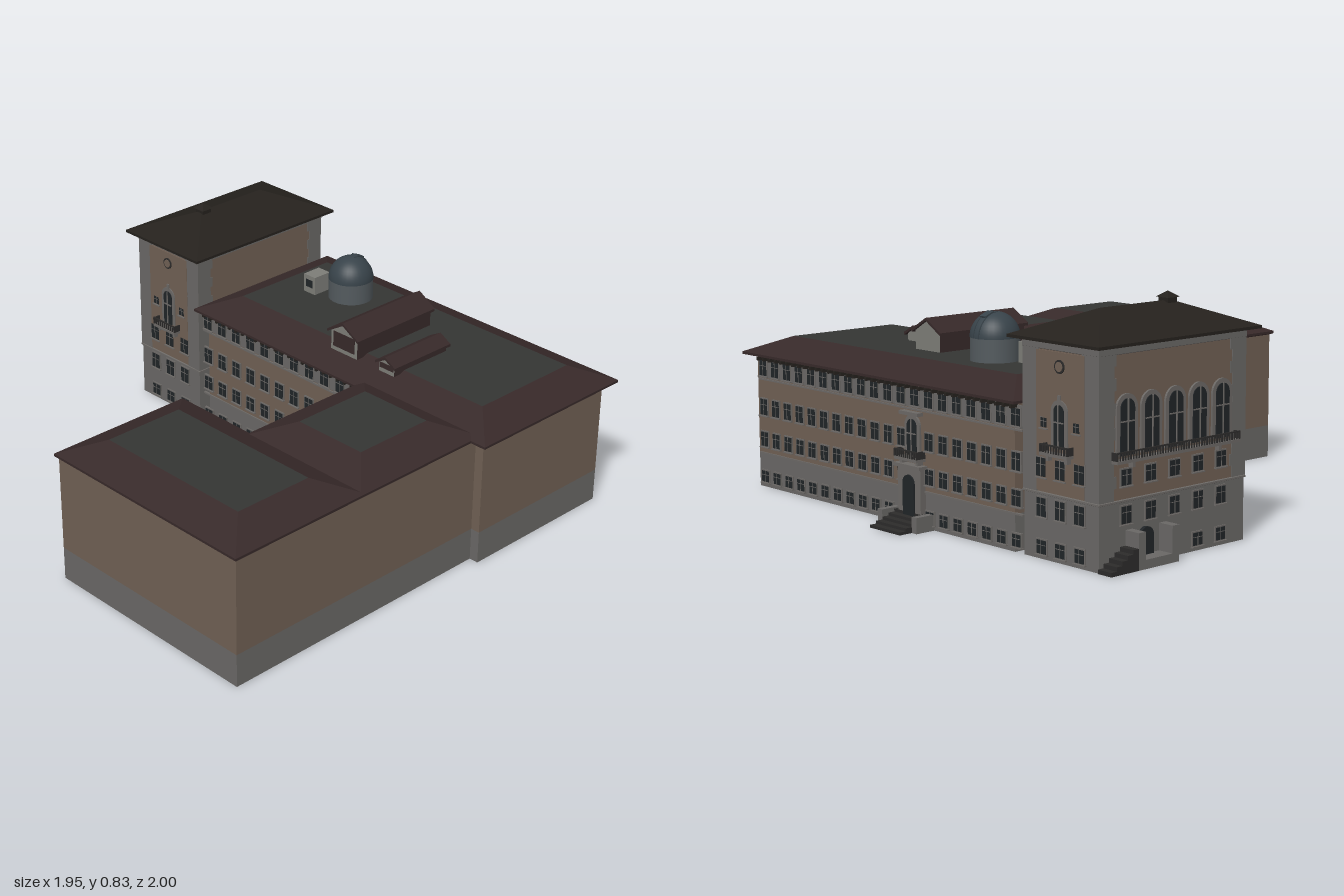
import * as THREE from 'three';

const mat = (color, side = THREE.FrontSide, flatShading = true) =>
  new THREE.MeshStandardMaterial({ color, side, flatShading });
const BOTH = THREE.DoubleSide;
const M = {
  brick: mat(0x6f5f53, BOTH), stone: mat(0x696765, BOTH), trim: mat(0x6b6865, BOTH), dark: mat(0x202427),
  tile: mat(0x372929, BOTH), tileDark: mat(0x25211d, BOTH), flat: mat(0x343533, BOTH), iron: mat(0x2c2b2a),
  dome: mat(0x38434a, BOTH, false), drum: mat(0x535a5e, BOTH, false), hut: mat(0x7c7c77),
};

function add(parent, name, geo, material, x = 0, y = 0, z = 0) {
  const m = new THREE.Mesh(geo, material);
  m.name = name;
  m.position.set(x, y, z);
  parent.add(m);
  return m;
}
const box = (p, name, w, h, d, material, x, y, z) =>
  add(p, name, new THREE.BoxGeometry(w, h, d), material, x, y, z);

// Joins rectangular rings [x0, x1, z0, z1, y] from bottom to top; the top may be closed
function loft(parent, name, rings, material, cap = false) {
  const corners = ([x0, x1, z0, z1, y]) => [[x0, y, z1], [x1, y, z1], [x1, y, z0], [x0, y, z0]];
  const pos = [];
  const quad = (a, b, c, d) => pos.push(...a, ...b, ...c, ...a, ...c, ...d);
  for (let r = 0; r + 1 < rings.length; r++) {
    const a = corners(rings[r]), b = corners(rings[r + 1]);
    for (let i = 0; i < 4; i++) quad(a[i], a[(i + 1) % 4], b[(i + 1) % 4], b[i]);
  }
  if (cap) quad(...corners(rings[rings.length - 1]));
  const g = new THREE.BufferGeometry();
  g.setAttribute('position', new THREE.Float32BufferAttribute(pos, 3));
  g.computeVertexNormals();
  return add(parent, name, g, material);
}
const grow = ([x0, x1, z0, z1], d, y) => [x0 - d, x1 + d, z0 - d, z1 + d, y];

// Wing: stone base, brick walls, sloped roof border around a flat top
function wing(parent, name, r, overhang) {
  const g = new THREE.Group();
  g.name = name;
  parent.add(g);
  loft(g, 'stoneBase', [[...r, 0], [...r, 0.125]], M.stone);
  loft(g, 'brickWalls', [[...r, 0.125], [...r, 0.49]], M.brick);
  const top = grow(r, overhang - 0.135, 0.56);
  loft(g, 'slopedRoof', [[...r, 0.488], grow(r, overhang, 0.493), grow(r, overhang, 0.502), top], M.tile);
  loft(g, 'flatRoof', [top], M.flat, true);
}

// Facade frame: local x runs along the wall, z points outward
function facade(parent, name, x, z, turn) {
  const g = new THREE.Group();
  g.name = name;
  g.position.set(x, 0, z);
  g.rotation.y = turn;
  parent.add(g);
  return g;
}

function squareWindow(f, x, y, w, h) {
  box(f, 'windowFrame', w + 0.01, h + 0.01, 0.008, M.trim, x, y, 0);
  box(f, 'windowPane', w, h, 0.012, M.dark, x, y, 0);
  box(f, 'mullion', 0.002, h, 0.014, M.trim, x, y, 0);
  box(f, 'transom', w, 0.002, 0.014, M.trim, x, y + h * 0.15, 0);
  box(f, 'sill', w + 0.014, 0.004, 0.016, M.trim, x, y - h / 2 - 0.005, 0.002);
}

function archGeometry(w, h, depth) {
  const s = new THREE.Shape(), r = w / 2;
  s.moveTo(-r, 0);
  s.lineTo(r, 0);
  s.lineTo(r, h - r);
  s.absarc(0, h - r, r, 0, Math.PI, false);
  s.closePath();
  return new THREE.ExtrudeGeometry(s, { depth, bevelEnabled: false, curveSegments: 8 });
}
function archWindow(f, x, y, w, h) {
  add(f, 'archSurround', archGeometry(w + 0.03, h + 0.015, 0.008), M.trim, x, y, 0);
  add(f, 'archPane', archGeometry(w, h, 0.011), M.dark, x, y, 0);
  box(f, 'archMullion', 0.004, h, 0.004, M.trim, x, y + h / 2, 0.012);
  box(f, 'archTransom', w, 0.004, 0.004, M.trim, x, y + h * 0.6, 0.012);
}

function balcony(f, x, y, w, d) {
  box(f, 'balconySlab', w, 0.01, d, M.trim, x, y, d / 2);
  box(f, 'balconyRail', w, 0.005, 0.005, M.iron, x, y + 0.03, d - 0.003);
  const n = Math.round(w / 0.012);
  for (let i = 0; i <= n; i++)
    box(f, 'baluster', 0.004, 0.026, 0.004, M.iron, x + (i / n - 0.5) * (w - 0.005), y + 0.016, d - 0.003);
  for (const s of [-1, 1]) {
    box(f, 'balconySide', 0.004, 0.026, d, M.iron, x + s * (w / 2 - 0.002), y + 0.018, d / 2);
    box(f, 'balconyBracket', 0.012, 0.02, d * 0.6, M.trim, x + s * w * 0.35, y - 0.014, d * 0.3);
  }
}

// Four window storeys, an attic band and eave brackets
function mainStoreys(f, x0, x1, n, skip = () => false) {
  box(f, 'atticBand', x1 - x0 + 0.06, 0.075, 0.004, M.stone, (x0 + x1) / 2, 0.447, 0);
  box(f, 'atticCourse', x1 - x0 + 0.06, 0.006, 0.01, M.trim, (x0 + x1) / 2, 0.403, 0);
  box(f, 'baseCourse', x1 - x0 + 0.06, 0.006, 0.01, M.trim, (x0 + x1) / 2, 0.127, 0);
  const rows = [[0.04, 0.04], [0.18, 0.052], [0.3, 0.058], [0.445, 0.056]];
  for (let i = 0; i < n; i++) {
    const x = x0 + (x1 - x0) * i / (n - 1);
    rows.forEach(([y, h], k) => { if (!skip(x, k)) squareWindow(f, x, y, 0.04, h); });
  }
  const nb = Math.round((x1 - x0) / 0.036);
  for (let i = 0; i <= nb; i++)
    box(f, 'eaveBracket', 0.01, 0.012, 0.03, M.tileDark, x0 + (x1 - x0) * i / nb, 0.482, 0.014);
}

// Narrow tower face: arched balcony window, round window and storey windows
function towerFace(f) {
  box(f, 'brickPanel', 0.22, 0.45, 0.008, M.brick, 0, 0.45, 0);
  for (const y of [0.04, 0.17, 0.3])
    for (const x of [-0.088, 0, 0.088]) squareWindow(f, x, y, 0.042, y < 0.1 ? 0.044 : 0.06);
  for (const x of [-0.075, 0.075]) squareWindow(f, x, 0.445, 0.026, 0.03);
  archWindow(f, 0, 0.37, 0.046, 0.14);
  box(f, 'archFinial', 0.012, 0.02, 0.012, M.trim, 0, 0.53, 0.004);
  balcony(f, 0, 0.352, 0.125, 0.035);
  const disc = (name, r, h, material) => {
    const m = add(f, name, new THREE.CylinderGeometry(r, r, h, 20), material, 0, 0.63, 0);
    m.rotation.x = Math.PI / 2;
  };
  disc('roundWindowRing', 0.022, 0.016, M.iron);
  disc('roundWindowPane', 0.016, 0.02, M.brick);
}

// Stepped entrance stair between two cheek walls
function stairs(f, x, w, h, d) {
  for (let i = 0; i < 5; i++)
    box(f, 'step', w, h * (5 - i) / 5, d / 5, M.iron, x, h * (5 - i) / 10, d * (i + 0.5) / 5);
  for (const s of [-1, 1])
    box(f, 'stairCheek', 0.025, h + 0.005, d * 0.6, M.stone, x + s * (w / 2 + 0.012), (h + 0.005) / 2, d * 0.3);
}

// Gabled rooftop house running along z
function gableHouse(parent, name, x, z0, z1, w, eave, ridge) {
  const poly = (pts, depth, material, part, z) => add(parent, name + part, new THREE.ExtrudeGeometry(
    new THREE.Shape(pts.map(p => new THREE.Vector2(...p))), { depth, bevelEnabled: false }), material, x, 0, z);
  const a = w / 2, b = a - 0.012, t = 0.01;
  poly([[-b, 0.55], [b, 0.55], [b, eave], [0, ridge - t], [-b, eave]], z1 - z0 - 0.02, [M.hut, M.tile], 'Walls', z0 + 0.01);
  poly([[-a, eave - t], [0, ridge - t], [a, eave - t], [a, eave], [0, ridge], [-a, eave]], z1 - z0, M.tile, 'Roof', z0);
  box(parent, name + 'Louvre', w * 0.68, eave - 0.57, 0.006, M.tile, x, (eave + 0.565) / 2, z1 - 0.01);
}

export function createModel() {
  const model = new THREE.Group();
  model.name = 'courtyardBuilding';
  const site = new THREE.Group();
  site.name = 'building';
  site.rotation.y = -0.09;
  model.add(site);

  // Three connected wings
  wing(site, 'mainWing', [-0.565, 0.858, -0.86, -0.212], 0.04);
  wing(site, 'linkWing', [0.28, 0.822, -0.212, 0.357], 0.012);
  wing(site, 'southWing', [-0.071, 0.822, 0.357, 0.917], 0.012);

  // Main wing facades
  const front = facade(site, 'courtFacade', 0, -0.212, 0);
  mainStoreys(front, -0.565, 0.24, 11);
  const back = facade(site, 'streetFacade', 0, -0.86, Math.PI);
  mainStoreys(back, -0.82, 0.575, 20, (x, k) => Math.abs(x - 0.05) < 0.06 && k < 3);

  // Street entrance
  box(back, 'portal', 0.12, 0.2, 0.025, M.trim, 0.05, 0.11, 0.01);
  add(back, 'portalDoor', archGeometry(0.06, 0.14, 0.028), M.dark, 0.05, 0.04, 0);
  box(back, 'portalCornice', 0.14, 0.012, 0.04, M.trim, 0.05, 0.21, 0.015);
  balcony(back, 0.05, 0.235, 0.12, 0.04);
  archWindow(back, 0.05, 0.245, 0.05, 0.125);
  box(back, 'windowHood', 0.1, 0.012, 0.03, M.trim, 0.05, 0.39, 0.01);
  stairs(back, 0.05, 0.16, 0.05, 0.13);

  // Tower
  const tower = new THREE.Group();
  tower.name = 'tower';
  site.add(tower);
  const t = [-0.955, -0.61, -0.86, -0.2], mid = (t[0] + t[1]) / 2;
  loft(tower, 'towerBase', [[...t, 0], [...t, 0.21]], M.stone);
  loft(tower, 'towerWalls', [[...t, 0.21], [...t, 0.71]], M.brick);
  loft(tower, 'stringCourse', [grow(t, 0, 0.21), grow(t, 0.005, 0.212), grow(t, 0.005, 0.218), grow(t, 0, 0.22)], M.trim);
  loft(tower, 'frieze', [grow(t, 0, 0.678), grow(t, 0.004, 0.68), grow(t, 0.004, 0.705)], M.stone);
  for (const x of [t[0], t[1]])
    for (const z of [t[2], t[3]])
      for (let i = 0; i < 12; i++) {
        const w = i % 2 ? 0.075 : 0.065;
        box(tower, 'quoin', w, 0.0385, w, M.stone,
          x + Math.sign(mid - x) * (w / 2 - 0.003), 0.239 + i * 0.0385, z + Math.sign(-0.53 - z) * (w / 2 - 0.003));
      }
  loft(tower, 'towerRoof', [grow(t, 0, 0.702), grow(t, 0.038, 0.706), grow(t, 0.038, 0.716),
    [mid - 0.001, mid + 0.001, -0.69, -0.375, 0.8]], M.tileDark, true);
  box(tower, 'chimney', 0.042, 0.05, 0.042, M.tileDark, mid, 0.79, -0.385);
  loft(tower, 'chimneyCap', [[mid - 0.028, mid + 0.028, -0.413, -0.357, 0.81], [mid, mid, -0.385, -0.385, 0.83]], M.tileDark);
  towerFace(facade(tower, 'towerFront', mid, -0.2, 0));
  towerFace(facade(tower, 'towerBack', mid, -0.86, Math.PI));

  // Long tower side with arcade windows, balcony and a side door
  const side = facade(tower, 'towerSide', t[0], -0.53, -Math.PI / 2);
  for (let i = -2; i <= 2; i++) {
    const x = i * 0.108;
    archWindow(side, x, 0.36, 0.062, 0.18);
    squareWindow(side, x, 0.29, 0.042, 0.05);
    squareWindow(side, x, 0.17, 0.042, 0.055);
    if (i > 0) squareWindow(side, x, 0.04, 0.042, 0.042);
  }
  balcony(side, 0, 0.345, 0.56, 0.03);
  add(side, 'sideDoor', archGeometry(0.06, 0.1, 0.012), M.dark, -0.13, 0.02, 0);
  box(side, 'doorLanding', 0.17, 0.03, 0.06, M.stone, -0.125, 0.015, 0.03);
  for (const x of [-0.2, -0.05]) box(side, 'doorPier', 0.03, 0.12, 0.06, M.stone, x, 0.06, 0.03);
  for (let i = 0; i < 5; i++)
    box(side, 'sideStep', 0.024, 0.07 - i * 0.014, 0.06, M.iron, -0.227 - i * 0.024, 0.035 - i * 0.007, 0.03);

  // Observatory dome with shutter
  const dome = new THREE.Group();
  dome.name = 'observatory';
  dome.position.set(-0.186, 0.64, -0.611);
  site.add(dome);
  add(dome, 'drum', new THREE.CylinderGeometry(0.086, 0.086, 0.09, 32), M.drum, 0, -0.045, 0);
  add(dome, 'domeShell', new THREE.SphereGeometry(0.087, 32, 12, 0, Math.PI * 2, 0, Math.PI / 2), M.dome);
  for (const x of [-0.013, 0.013]) {
    const rail = add(dome, 'shutterRail', new THREE.TorusGeometry(0.086, 0.003, 4, 12, Math.PI / 2), M.dome, x, 0, 0);
    rail.rotation.y = Math.PI / 2;
  }
  box(dome, 'shutterHood', 0.03, 0.014, 0.04, M.dome, 0, 0.076, -0.035).rotation.x = -0.4;

  // Rooftop hut and gabled houses
  box(site, 'roofHut', 0.06, 0.075, 0.08, M.hut, -0.315, 0.595, -0.554);
  box(site, 'hutWindow', 0.035, 0.03, 0.004, M.dark, -0.315, 0.6, -0.514);
  gableHouse(site, 'largeGable', 0.133, -0.655, -0.245, 0.158, 0.63, 0.677);
  gableHouse(site, 'smallGable', 0.348, -0.54, -0.246, 0.1, 0.59, 0.618);
  return model;
}
